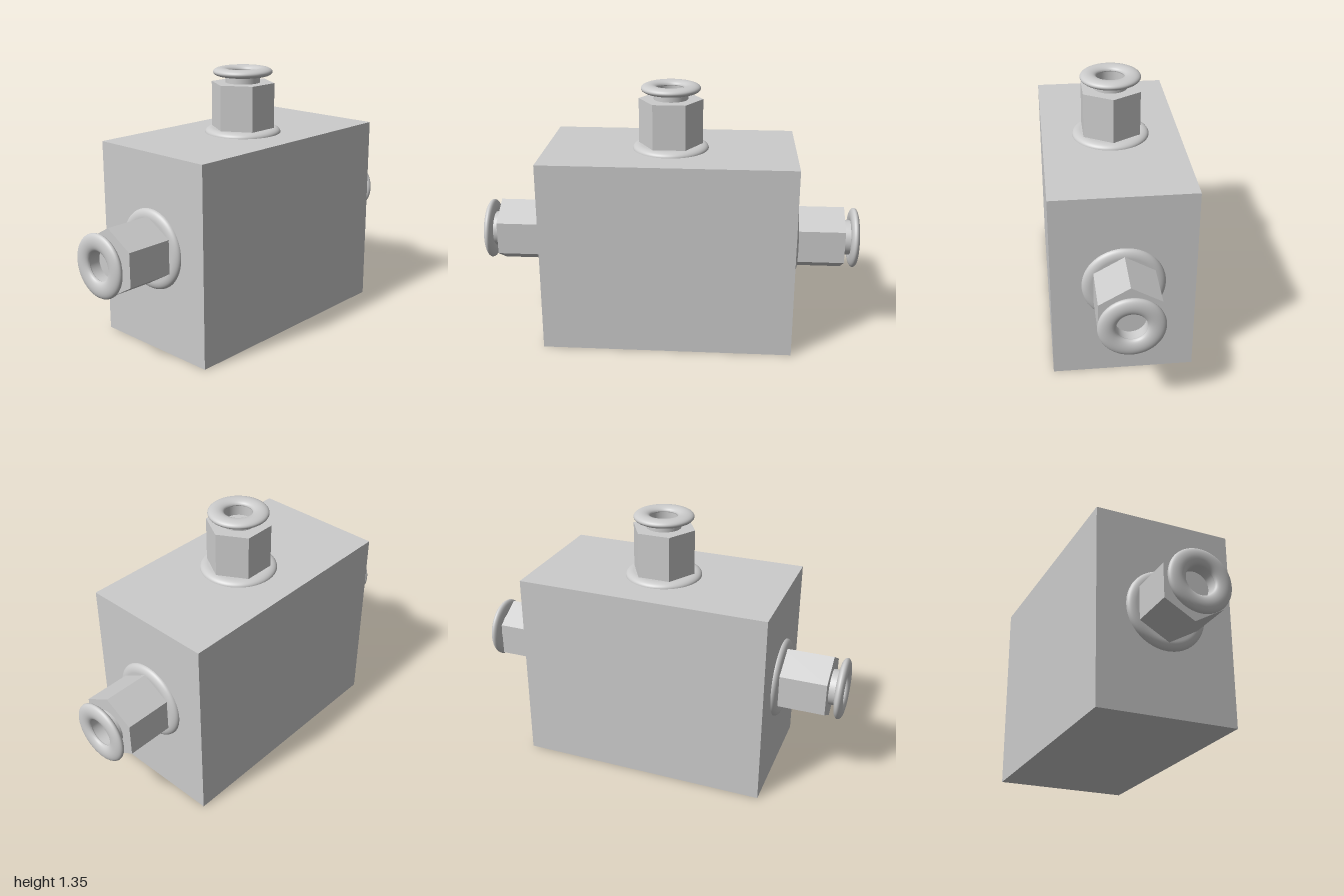
import * as THREE from 'three';

const material = new THREE.MeshStandardMaterial({ color: 0xcccccc });
const doubleSided = new THREE.MeshStandardMaterial({ color: 0xcccccc, side: THREE.DoubleSide });

function part(name, geometry, mat = material) {
  const mesh = new THREE.Mesh(geometry, mat);
  mesh.name = name;
  return mesh;
}

// Points on an elliptical arc, for lathe profiles
function arc(cx, cy, rx, ry, from, to, steps) {
  return Array.from({ length: steps + 1 }, (_, i) => {
    const a = from + ((to - from) * i) / steps;
    return new THREE.Vector2(cx + rx * Math.cos(a), cy + ry * Math.sin(a));
  });
}

// Push-in hose fitting, standing on y = 0 and pointing along +y
function makeFitting(name) {
  const fitting = new THREE.Group();
  fitting.name = name;

  // Rounded washer against the block
  const washer = [...arc(0.163, 0, 0.042, 0.026, 0, Math.PI / 2, 10), new THREE.Vector2(0, 0.026)];
  fitting.add(part('washer', new THREE.LatheGeometry(washer, 64)));

  // Hexagonal nut, corners on the local x axis
  const nut = new THREE.CylinderGeometry(0.172, 0.172, 0.268, 6).toNonIndexed();
  nut.rotateY(Math.PI / 6).translate(0, 0.134, 0);
  nut.computeVertexNormals();
  fitting.add(part('hexNut', nut));

  // Hollow neck
  const outer = new THREE.CylinderGeometry(0.092, 0.092, 0.06, 48, 1, true).translate(0, 0.295, 0);
  const inner = new THREE.CylinderGeometry(0.074, 0.074, 0.06, 48, 1, true).translate(0, 0.295, 0);
  fitting.add(part('neck', outer), part('bore', inner, doubleSided));

  // Flattened release ring
  const ring = arc(0.116, 0.325, 0.043, 0.022, -Math.PI, Math.PI, 28);
  fitting.add(part('releaseRing', new THREE.LatheGeometry(ring, 64)));
  return fitting;
}

export function createModel() {
  const model = new THREE.Group();
  model.name = 'teeValveBlock';

  // Solid body
  const body = part('block', new THREE.BoxGeometry(1.306, 1.015, 0.71));
  body.position.y = 0.5075;
  model.add(body);

  // Top port
  const top = makeFitting('topFitting');
  top.position.y = 1.015;
  top.scale.setScalar(0.97);
  model.add(top);

  // Left and right ports
  for (const side of [1, -1]) {
    const port = makeFitting(side > 0 ? 'leftFitting' : 'rightFitting');
    port.position.set(side * 0.653, 0.53, 0);
    port.rotation.z = -side * Math.PI / 2;
    model.add(port);
  }
  return model;
}
